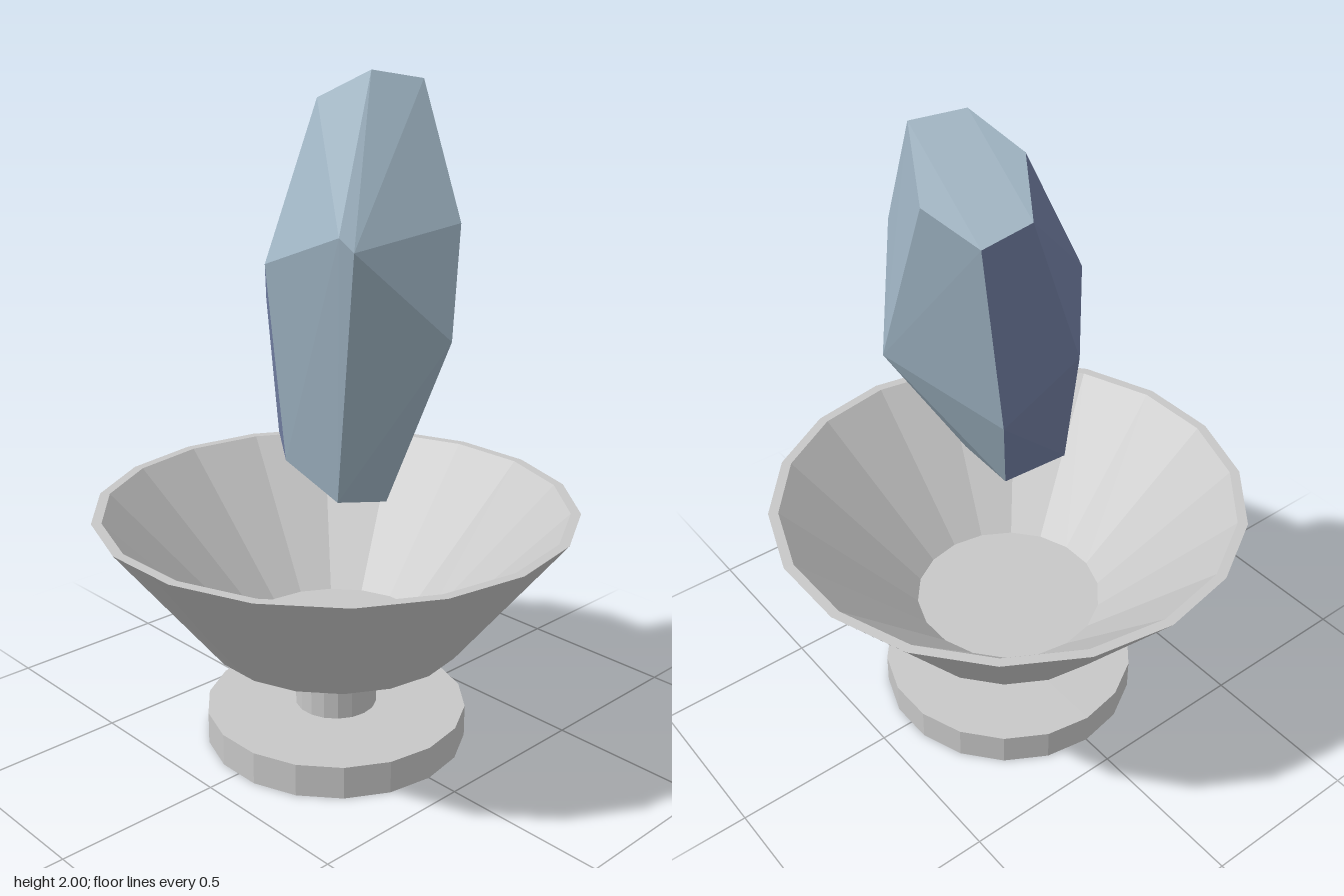
import * as THREE from 'three';
import { ConvexGeometry } from 'three/addons/geometries/ConvexGeometry.js';

const SIDES = 18;

export function createModel() {
  const stone = new THREE.MeshStandardMaterial({ color: 0xc8c8c8 });
  stone.name = 'pale grey';
  const crystalBlue = new THREE.MeshStandardMaterial({ color: 0x9db2c1 });
  crystalBlue.name = 'crystal blue';
  const crystalViolet = new THREE.MeshStandardMaterial({ color: 0x727fa3 });
  crystalViolet.name = 'crystal violet';

  const model = new THREE.Group();
  model.name = 'floatingCrystalBowl';

  // Turns a profile of [radius, height] points, faceted or smooth
  function turned(name, profile, faceted) {
    const points = profile.map(([r, y]) => new THREE.Vector2(r, y));
    let geometry = new THREE.LatheGeometry(points, SIDES, Math.PI / 2);
    if (faceted) {
      geometry = geometry.toNonIndexed();
      geometry.computeVertexNormals();
    }
    const mesh = new THREE.Mesh(geometry, stone);
    mesh.name = name;
    model.add(mesh);
  }

  // Pedestal
  turned('base', [[0, 0], [0.4, 0], [0.4, 0.1], [0, 0.1]], true);
  turned('stem', [[0.125, 0.1], [0.125, 0.25]], true);

  // Bowl: faceted underside, smooth outer wall, faceted rim and inside
  turned('bowlUnderside', [[0, 0.24], [0.125, 0.24], [0.26, 0.28], [0.39, 0.33]], true);
  turned('bowlOuterWall', [[0.39, 0.33], [0.72, 0.75]], false);
  turned('bowlInside', [[0.72, 0.75], [0.69, 0.75], [0.29, 0.34], [0, 0.34]], true);

  // Crystal: convex hull of its corners
  const corners = [
    // slanted top
    [0.035, 2, -0.1], [0.11, 1.975, -0.23], [-0.04, 1.82, -0.305],
    [-0.2, 1.75, -0.24], [-0.24, 1.8, -0.11], [-0.12, 1.92, -0.04],
    // girdle
    [-0.065, 1.49, 0.207], [0.21, 1.595, 0.187], [0.255, 1.56, 0.175],
    [0.31, 1.605, -0.175], [0.37, 1.3, -0.083], [0.13, 1.315, -0.332],
    [-0.21, 1.19, -0.18], [-0.24, 1.34, 0.055],
    // slanted bottom
    [-0.165, 0.955, 0.077], [-0.04, 0.915, 0.16], [0.14, 0.825, 0.125],
    [0.2, 0.81, -0.01], [-0.14, 0.94, -0.12],
  ].map((p) => new THREE.Vector3(...p));
  const geometry = new ConvexGeometry(corners);

  // Faces on the -x side are violet, all others blue
  const normal = geometry.attributes.normal;
  for (let i = 0; i < normal.count; i += 3) {
    const violet = normal.getX(i) < -0.55 && normal.getY(i) < 0.5;
    geometry.addGroup(i, 3, violet ? 1 : 0);
  }
  const crystal = new THREE.Mesh(geometry, [crystalBlue, crystalViolet]);
  crystal.name = 'crystal';
  model.add(crystal);

  return model;
}
